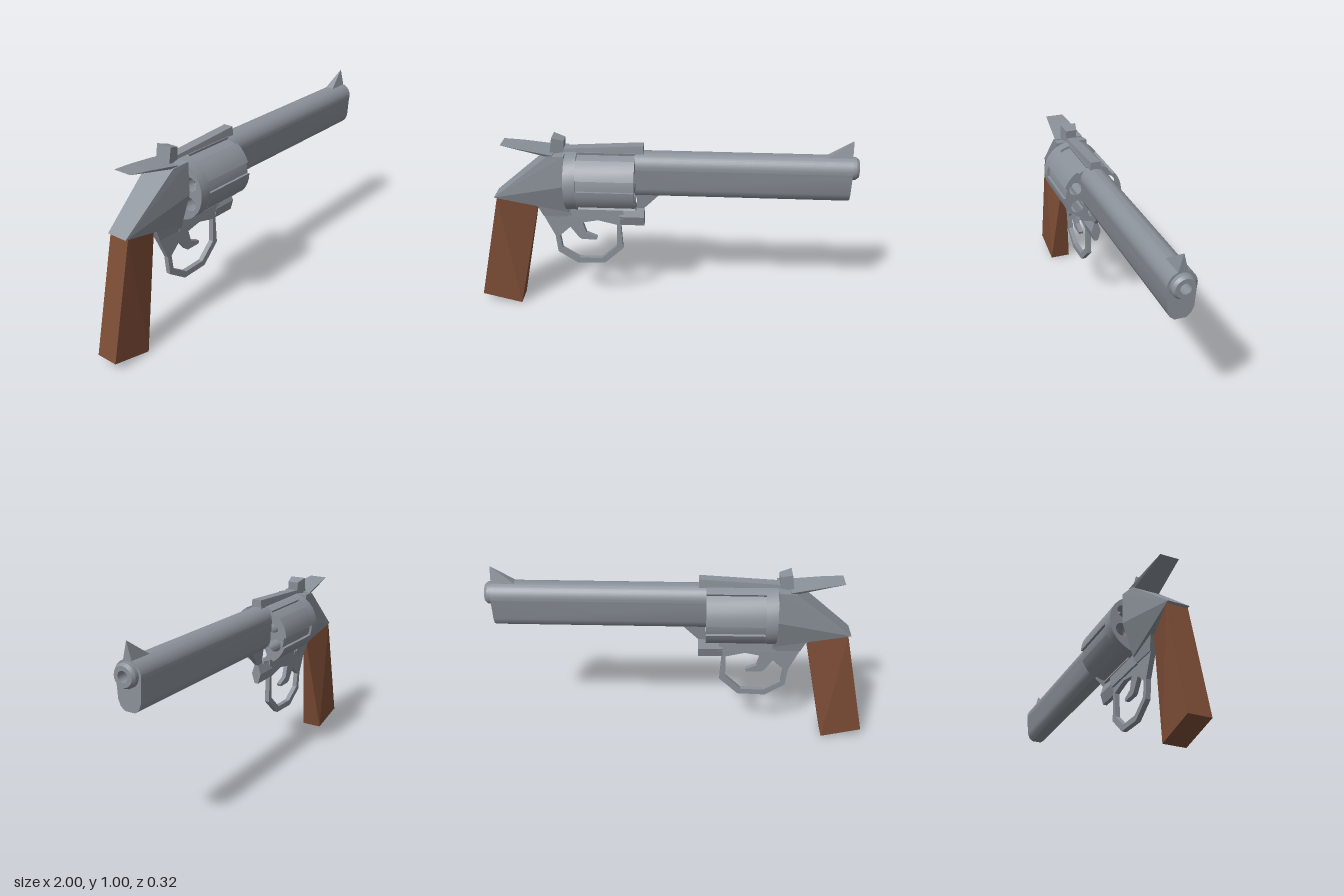
import * as THREE from 'three';
import { toCreasedNormals } from 'three/addons/utils/BufferGeometryUtils.js';
import { ConvexGeometry } from 'three/addons/geometries/ConvexGeometry.js';

export function createModel() {
  const steel = new THREE.MeshStandardMaterial({ color: 0x8b9199 });
  steel.name = 'steel';
  const wood = new THREE.MeshStandardMaterial({ color: 0x7d4d36 });
  wood.name = 'wood';

  const model = new THREE.Group();
  model.name = 'revolver';
  const body = new THREE.Group();
  body.name = 'body';
  body.position.z = -0.004;
  model.add(body);

  const add = (name, geometry, material = steel, parent = body) => {
    const mesh = new THREE.Mesh(geometry, material);
    mesh.name = name;
    parent.add(mesh);
    return mesh;
  };

  // Convex solid from [x, y, halfWidth] points mirrored across z
  const hull = (points) => new ConvexGeometry(points.flatMap(([x, y, w]) =>
    w === 0 ? [new THREE.Vector3(x, y, 0)]
      : [new THREE.Vector3(x, y, w), new THREE.Vector3(x, y, -w)]));

  const toShape = (points) => new THREE.Shape(points.map(([x, y]) => new THREE.Vector2(x, y)));

  // Side profile extruded symmetrically across z
  const plate = (shape, half) => new THREE.ExtrudeGeometry(shape, { depth: half * 2, bevelEnabled: false })
    .translate(0, 0, -half);

  // Cross-section (drawn in -z, y) extruded along x
  const alongX = (shape, x0, x1) => toCreasedNormals(
    new THREE.ExtrudeGeometry(shape, { depth: x1 - x0, bevelEnabled: false, curveSegments: 16 })
      .rotateY(Math.PI / 2).translate(x0, 0, 0), 0.5);

  const circleHole = (x, y, r) => new THREE.Path().absarc(x, y, r, 0, Math.PI * 2, true);

  // Grip
  add('grip', hull([
    [-0.865, 0.655, 0.056], [-0.655, 0.61, 0.008],
    [-0.785, 0.003, 0.058], [-1.0, 0.055, 0.058],
  ]), wood);

  // Rear frame, widening towards the cylinder
  add('rearFrame', hull([
    [-0.88, 0.66, 0.056], [-0.655, 0.61, 0.032], [-0.58, 0.91, 0.078],
    [-0.49, 0.918, 0.088], [-0.49, 0.75, 0.09], [-0.49, 0.575, 0.035],
  ]));
  add('lowerRearFrame', hull([
    [-0.665, 0.62, 0.03], [-0.63, 0.54, 0.018], [-0.48, 0.54, 0.022], [-0.48, 0.62, 0.035],
  ]));

  // Lower frame below the cylinder, front lug and ramp to the barrel
  add('lowerFrame', hull([
    [-0.5, 0.535, 0.024], [-0.2, 0.535, 0.024], [-0.5, 0.606, 0.022], [-0.2, 0.606, 0.022],
  ]));
  add('frontLug', hull([-0.22, -0.09].flatMap((x) =>
    [[x, 0.495, 0.011], [x, 0.55, 0.027], [x, 0.603, 0.01]])));
  add('frontRamp', hull([
    [-0.128, 0.59, 0.01], [-0.09, 0.6, 0.01], [0.0, 0.695, 0.022], [-0.128, 0.7, 0.025],
  ]));

  // Trigger guard ring
  const guard = toShape([
    [-0.635, 0.55], [-0.575, 0.42], [-0.565, 0.32], [-0.46, 0.25],
    [-0.31, 0.255], [-0.208, 0.35], [-0.22, 0.55],
  ]);
  guard.holes.push(new THREE.Path([
    [-0.55, 0.42], [-0.49, 0.475], [-0.43, 0.502], [-0.34, 0.52], [-0.237, 0.495],
    [-0.24, 0.365], [-0.325, 0.285], [-0.45, 0.282], [-0.54, 0.34],
  ].map(([x, y]) => new THREE.Vector2(x, y))));
  add('triggerGuard', plate(guard, 0.013));

  // Trigger
  add('trigger', plate(toShape([
    [-0.495, 0.48], [-0.445, 0.41], [-0.43, 0.4], [-0.35, 0.4],
    [-0.345, 0.415], [-0.405, 0.44], [-0.425, 0.51],
  ]), 0.012));

  // Barrel: round top with an underlug, bored through
  const barrel = new THREE.Shape();
  barrel.absarc(0, 0.852, 0.07, -0.25, Math.PI + 0.25, false);
  [[-0.062, 0.735], [-0.05, 0.705], [-0.028, 0.686], [0.028, 0.686], [0.05, 0.705], [0.062, 0.735]]
    .forEach(([x, y]) => barrel.lineTo(x, y));
  barrel.holes.push(circleHole(0, 0.855, 0.027));
  add('barrel', alongX(barrel, -0.135, 0.965));

  // Muzzle crown
  const crown = [[0.058, 0.95], [0.058, 0.985], [0.048, 1.0], [0.027, 1.0], [0.027, 0.95]]
    .map(([r, y]) => new THREE.Vector2(r, y));
  add('muzzle', toCreasedNormals(new THREE.LatheGeometry(crown, 20).rotateZ(-Math.PI / 2)
    .translate(0, 0.855, 0), 0.5));

  // Front sight
  add('frontSight', hull([
    [0.84, 0.915, 0.024], [0.965, 0.905, 0.026], [0.905, 0.95, 0.006], [0.965, 1.005, 0],
  ]));

  // Top rib and rear sight
  add('topRib', hull([
    [-0.52, 0.9, 0.03], [-0.52, 0.935, 0.026], [-0.09, 0.96, 0.026], [-0.09, 0.915, 0.03],
  ]));
  add('rearSight', hull([
    [-0.57, 0.905, 0.042], [-0.555, 0.998, 0.043], [-0.495, 0.98, 0.03], [-0.5, 0.91, 0.028],
  ]));

  // Hammer spur
  add('hammer', hull([
    [-0.82, 0.955, 0.05], [-0.72, 0.945, 0.06], [-0.55, 0.918, 0.08],
    [-0.55, 0.9, 0.07], [-0.69, 0.922, 0.04],
  ]));

  // Cylinder: fluted front and full rear rim, with six open chambers
  const cylinder = new THREE.Group();
  cylinder.name = 'cylinder';
  model.add(cylinder);
  const cy = 0.76, R = 0.162, step = Math.PI / 3;
  const at = (r, a) => [-r * Math.cos(a), cy + r * Math.sin(a)];
  const outline = [];
  for (let k = 0; k < 6; k++) {
    const a = 0.16 + k * step, h = 0.18;
    for (const t of [-h, 0, h]) outline.push(at(0.149, a + t));
    for (let i = 0; i <= 4; i++) outline.push(at(R, a + h + (step - 2 * h) * i / 4));
  }
  const fluted = toShape(outline);
  const rim = new THREE.Shape().absarc(0, cy, R, 0, Math.PI * 2, false);
  for (const shape of [fluted, rim]) {
    for (let k = 0; k < 6; k++) {
      const [x, y] = at(0.105, 0.44 + k * step);
      shape.holes.push(circleHole(x, y, 0.035));
    }
  }
  add('flutedCylinder', alongX(fluted, -0.43, -0.13), steel, cylinder);
  add('cylinderRim', alongX(rim, -0.49, -0.43), steel, cylinder);

  return model;
}
